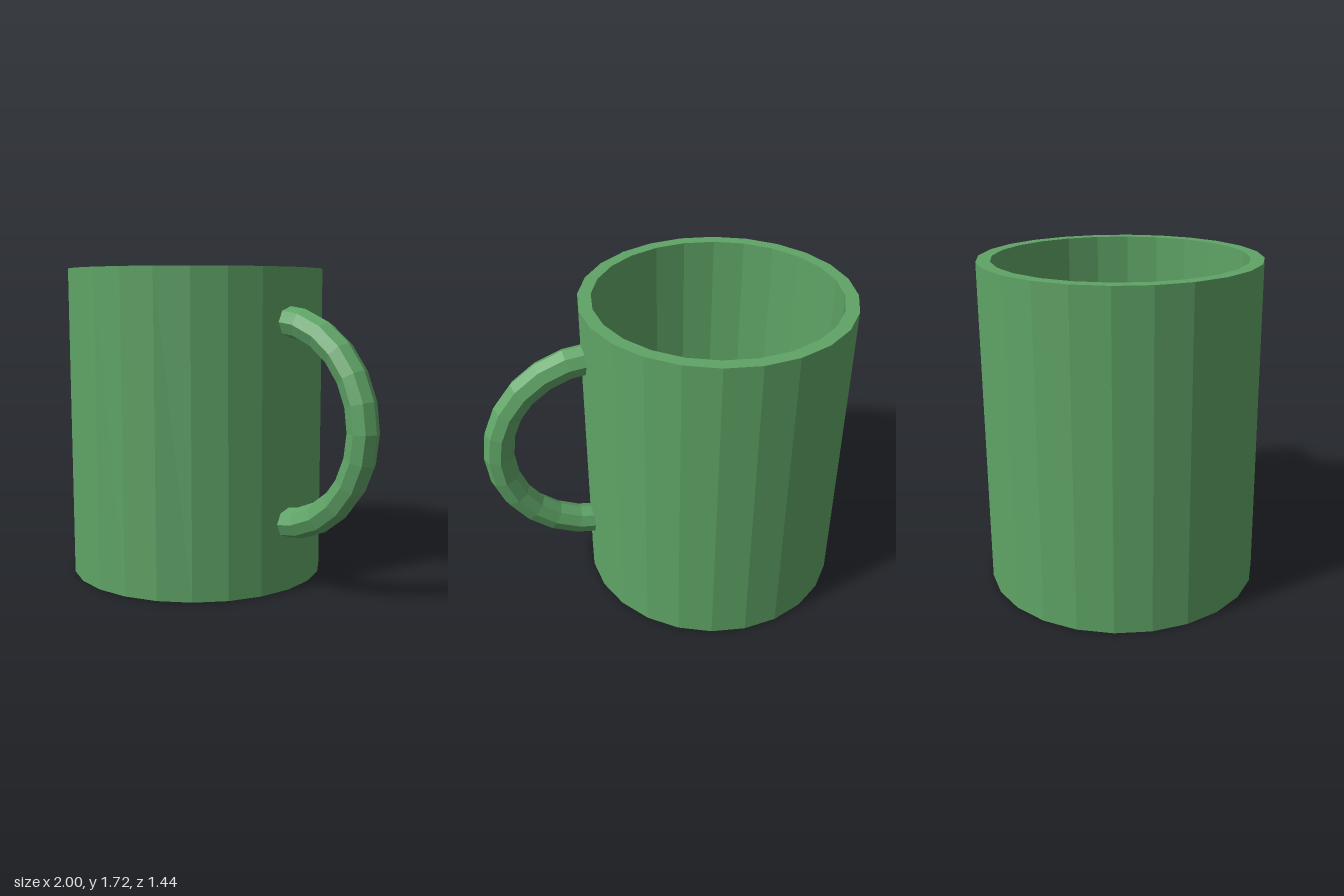
import * as THREE from 'three';

export function createModel() {
  const group = new THREE.Group();
  const material = new THREE.MeshStandardMaterial({ color: 0x5fa466, flatShading: true });

  const sides = 24;
  const radius = 0.72, innerRadius = 0.65, height = 1.72, floor = 0.07;

  // Hollow cup: underside, outer wall, flat rim, inner wall and floor
  const profile = [
    [0, 0], [radius, 0], [radius, height],
    [innerRadius, height], [innerRadius, floor], [0, floor],
  ].map(([x, y]) => new THREE.Vector2(x, y));
  const cup = new THREE.Mesh(new THREE.LatheGeometry(profile, sides), material);
  cup.name = 'cup';
  cup.position.x = -0.28;
  group.add(cup);

  // Half-ring handle whose ends sink into the wall
  const handle = new THREE.Mesh(new THREE.TorusGeometry(0.54, 0.082, 8, 12, Math.PI), material);
  handle.name = 'handle';
  handle.rotation.z = -Math.PI / 2;
  handle.position.set(0.378, 0.905, 0);
  group.add(handle);

  return group;
}
